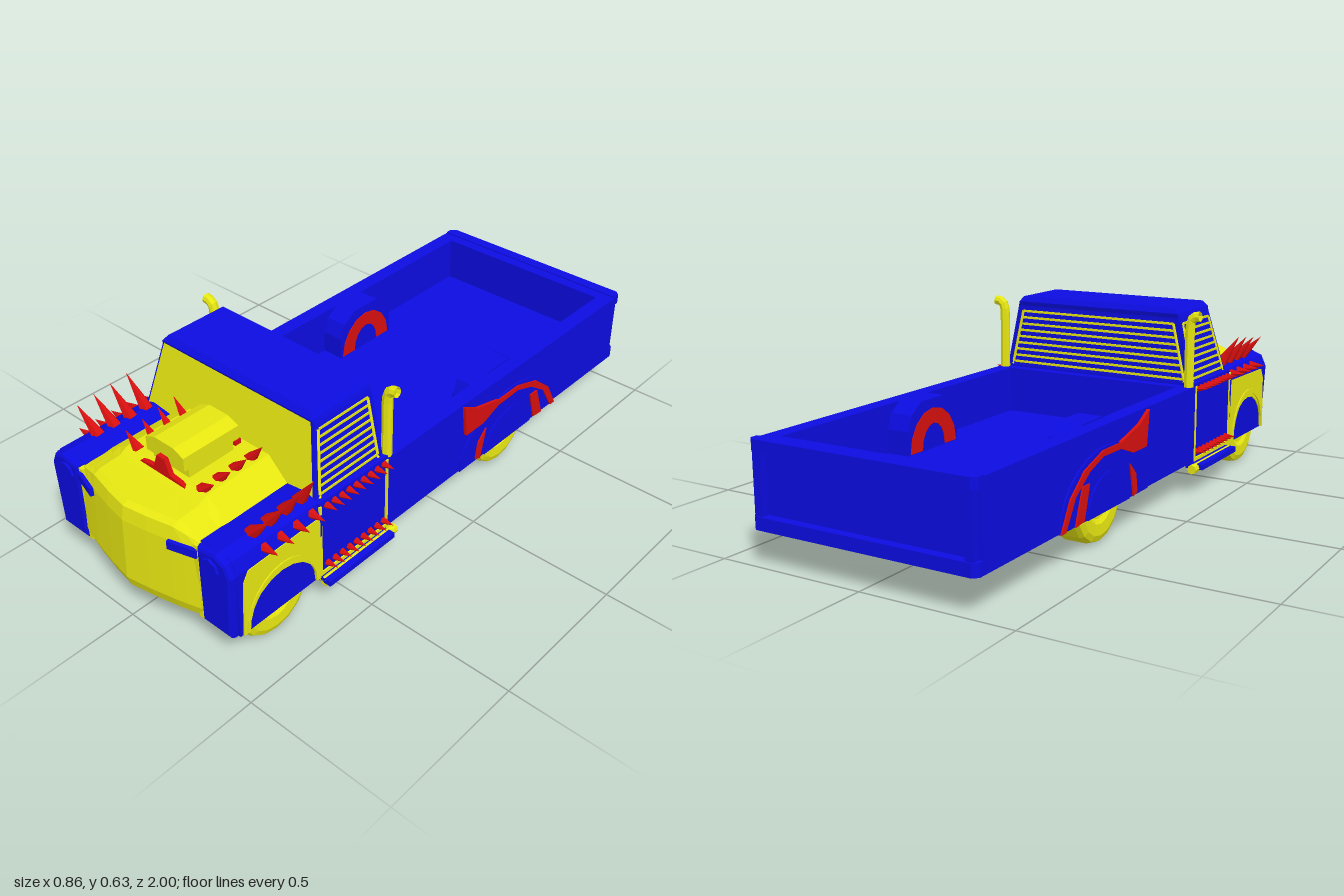
import * as THREE from 'three';

const paint = (color) => new THREE.MeshStandardMaterial({ color, flatShading: true, side: THREE.DoubleSide });

export function createModel() {
  const truck = new THREE.Group();
  truck.name = 'truck';
  const blue = paint(0x0c0ce0), yellow = paint(0xe6e612), red = paint(0xd80f0f);

  const add = (geo, mat, name) => {
    const mesh = new THREE.Mesh(geo, mat);
    mesh.name = name;
    truck.add(mesh);
  };
  // Adds a part on the left (+x) and its reflection on the right
  const pair = (geo, mat, name) => {
    add(geo, mat, name + 'Left');
    const g = geo.index ? geo.toNonIndexed() : geo.clone();
    g.scale(-1, 1, 1);
    const p = g.attributes.position;
    for (let i = 0; i < p.count; i += 3) {
      const a = [p.getX(i), p.getY(i), p.getZ(i)];
      p.setXYZ(i, p.getX(i + 1), p.getY(i + 1), p.getZ(i + 1));
      p.setXYZ(i + 1, ...a);
    }
    g.computeVertexNormals();
    add(g, mat, name + 'Right');
  };
  // Box given by its limits
  const box = (x0, x1, y0, y1, z0, z1) =>
    new THREE.BoxGeometry(x1 - x0, y1 - y0, z1 - z0).translate((x0 + x1) / 2, (y0 + y1) / 2, (z0 + z1) / 2);
  const outline = (pts) => new THREE.Shape(pts.map(([a, b]) => new THREE.Vector2(a, b)));
  const extrude = (shape, depth) => new THREE.ExtrudeGeometry(shape, { depth, bevelEnabled: false });
  // Side plate from (z, y) points, standing between x0 and x1
  const plate = (pts, x0, x1) =>
    extrude(outline(pts.map(([z, y]) => [-z, y])), x1 - x0).rotateY(Math.PI / 2).translate(x0, 0, 0);
  // Flat slab from (x, -z) points, standing between y0 and y1
  const slab = (shape, y0, y1) => extrude(shape, y1 - y0).rotateX(-Math.PI / 2).translate(0, y0, 0);
  // Surface through rows of points
  const loft = (rows) => {
    const n = rows[0].length, index = [];
    for (let r = 0; r < rows.length - 1; r++)
      for (let c = 0; c < n - 1; c++) {
        const a = r * n + c, b = a + n;
        index.push(a, a + 1, b, a + 1, b + 1, b);
      }
    const g = new THREE.BufferGeometry();
    g.setAttribute('position', new THREE.Float32BufferAttribute(rows.flat(2), 3));
    g.setIndex(index);
    g.computeVertexNormals();
    return g;
  };
  const spike = (from, to, r) => {
    const a = new THREE.Vector3(...from), b = new THREE.Vector3(...to), d = b.clone().sub(a);
    const q = new THREE.Quaternion().setFromUnitVectors(new THREE.Vector3(0, 1, 0), d.clone().normalize());
    const mid = a.add(b).multiplyScalar(0.5);
    return new THREE.ConeGeometry(r, d.length(), 6).applyQuaternion(q).translate(mid.x, mid.y, mid.z);
  };
  const arc = (cz, cy, rz, ry, n = 10) =>
    Array.from({ length: n + 1 }, (_, i) => {
      const t = (i / n) * Math.PI;
      return [cz + rz * Math.cos(t), cy + ry * Math.sin(t)];
    });

  // Cargo bed: thick walls over a thin lower skirt, a raised floor, and a framed tailgate
  const bedRing = (x, z0, z1) => {
    const shape = outline([[-0.384, -0.3], [0.384, -0.3], [0.384, 0.97], [-0.384, 0.97]]);
    shape.holes.push(new THREE.Path([[-x, z0], [-x, z1], [x, z1], [x, z0]].map((p) => new THREE.Vector2(...p))));
    return shape;
  };
  add(slab(bedRing(0.33, -0.26, 0.92), 0.195, 0.37), blue, 'bedWalls');
  add(slab(bedRing(0.376, -0.295, 0.963), 0.11, 0.195), blue, 'bedSkirt');
  add(box(-0.36, 0.36, 0.195, 0.212, -0.95, 0.29), blue, 'bedFloor');
  const rail = outline([[-0.384, 0.96], [0.384, 0.96], [0.384, 0.985], [0.368, 1], [-0.368, 1], [-0.384, 0.985]]);
  add(slab(rail, 0.34, 0.374), blue, 'tailgateTopRail');
  add(slab(rail, 0.11, 0.15), blue, 'rearBumper');
  pair(box(0.345, 0.372, 0.14, 0.35, -0.995, -0.96), blue, 'tailgatePost');

  // Rear fenders with wheel skirts, inner wheel tubs and flames
  pair(plate(arc(-0.33, 0.11, 0.27, 0.2, 14), 0.38, 0.39), blue, 'rearFender');
  pair(plate(arc(-0.32, 0.11, 0.13, 0.12), 0.385, 0.394), blue, 'rearSkirt');
  const tub = [[-0.19, 0.2], [-0.19, 0.29], [-0.21, 0.34], [-0.26, 0.375], [-0.38, 0.375], [-0.43, 0.34], [-0.45, 0.29], [-0.45, 0.2]];
  pair(plate(tub, 0.25, 0.335), blue, 'wheelTub');
  pair(plate([...arc(-0.32, 0.215, 0.12, 0.13, 8), ...arc(-0.32, 0.215, 0.06, 0.08, 8).reverse()], 0.247, 0.251), red, 'tubFlame');
  const flames = [
    [[-0.065, 0.365], [-0.13, 0.33], [-0.25, 0.3], [-0.36, 0.3], [-0.47, 0.265], [-0.55, 0.2], [-0.6, 0.11],
      [-0.575, 0.11], [-0.52, 0.2], [-0.44, 0.255], [-0.36, 0.282], [-0.25, 0.28], [-0.17, 0.25], [-0.08, 0.25]],
    [[-0.19, 0.22], [-0.165, 0.11], [-0.14, 0.12], [-0.15, 0.18]],
    [[-0.44, 0.22], [-0.48, 0.22], [-0.52, 0.11], [-0.47, 0.115]],
  ];
  flames.forEach((f) => pair(plate(f, 0.384, 0.395), red, 'flame'));

  // Lower cab and doors with thin yellow edging
  add(box(-0.382, 0.382, 0.12, 0.38, 0.295, 0.595), blue, 'cabBody');
  add(box(-0.36, 0.36, 0.108, 0.122, 0.3, 0.59), red, 'cabFloor');
  for (const z of [0.298, 0.588]) pair(box(0.38, 0.387, 0.11, 0.37, z, z + 0.009), yellow, 'doorEdge');
  pair(box(0.38, 0.387, 0.11, 0.122, 0.298, 0.597), yellow, 'doorSill');

  // Upper cab tapering to the roof
  const ring = (x, y, zb, zf) => [[x, y, zf], [x, y, zb], [-x, y, zb], [-x, y, zf], [x, y, zf]];
  add(loft([ring(0.366, 0.37, 0.3, 0.59), ring(0.317, 0.595, 0.3, 0.54), ring(0.312, 0.61, 0.295, 0.545),
    ring(0.298, 0.628, 0.305, 0.53), ring(0, 0.628, 0.42, 0.42)]), blue, 'cabShell');
  const cabX = (y) => 0.366 - ((y - 0.37) * 0.049) / 0.225;
  const cabZ = (y) => 0.59 - ((y - 0.37) * 0.05) / 0.225;
  add(loft([0.385, 0.602].map((y) => [-1, 1].map((s) => [s * (cabX(y) - 0.008), y, cabZ(y) + 0.004]))), yellow, 'windshield');

  // Louvred side and rear windows
  for (let i = 0; i <= 8; i++) {
    const y = 0.39 + i * 0.0232;
    pair(box(cabX(y) - 0.01, cabX(y) + 0.002, y - 0.004, y + 0.004, 0.32, cabZ(y) - 0.018), yellow, 'sideLouvre');
    add(box(0.025 - cabX(y), cabX(y) - 0.025, y - 0.004, y + 0.004, 0.296, 0.31), yellow, 'rearLouvre');
  }
  const tube = (pts, r) => new THREE.TubeGeometry(
    new THREE.CatmullRomCurve3(pts.map((p) => new THREE.Vector3(...p)), false, 'catmullrom', 0.2), 16, r, 8);
  pair(tube([[cabX(0.38), 0.38, 0.32], [cabX(0.577), 0.577, 0.32]], 0.005), yellow, 'sideWindowRearFrame');
  pair(tube([[cabX(0.38), 0.38, 0.572], [cabX(0.577), 0.577, 0.528]], 0.005), yellow, 'sideWindowFrontFrame');
  pair(tube([[0.342, 0.38, 0.298], [0.297, 0.577, 0.298]], 0.005), yellow, 'rearWindowFrame');

  // Hood and grille in one sweep from the lower lip over the nose to the windshield
  const nose = [[0.11, 0.96], [0.113, 0.988], [0.15, 1], [0.36, 0.99], [0.405, 0.98], [0.415, 0.96], [0.42, 0.85], [0.437, 0.82], [0.44, 0.57]];
  const cols = [-0.255, -0.21, -0.17, -0.085, 0, 0.085, 0.17, 0.21, 0.255];
  add(loft(nose.map(([y, z]) => cols.map((x) => {
    const drop = y > 0.37 ? Math.max(0, Math.abs(x) - 0.17) * (y - 0.375) * 10 : 0;
    const sweep = 0.14 * Math.abs(x) + 0.32 * x * x;
    return [x, y - drop, z - (z > 0.9 ? sweep : 0)];
  }))), yellow, 'hoodAndGrille');
  add(box(-0.25, 0.25, 0.25, 0.375, 0.59, 0.92), yellow, 'engineBay');
  pair(box(0.24, 0.256, 0.11, 0.38, 0.595, 0.94), yellow, 'grilleSide');
  pair(box(-0.047, 0.047, -0.014, 0.014, -0.006, 0.006).rotateY(0.28).translate(0.21, 0.354, 0.954), blue, 'grilleTab');

  // Front fenders: hollow arched shell, front cap, headlight, yellow side panel and arch trim
  const over = [[0.385, 0.11], [0.388, 0.34], [0.372, 0.38], [0.33, 0.395], [0.25, 0.385]];
  const under = [[0.25, 0.365], [0.325, 0.375], [0.36, 0.362], [0.37, 0.335], [0.368, 0.11]];
  pair(extrude(outline([...over, ...under]), 0.33).translate(0, 0, 0.59), blue, 'frontFender');
  pair(new THREE.ExtrudeGeometry(outline([[0.365, 0.122], [0.376, 0.335], [0.36, 0.37], [0.328, 0.383], [0.268, 0.374], [0.268, 0.122]]),
    { depth: 0.02, bevelThickness: 0.015, bevelSize: 0.012, bevelSegments: 2 }).translate(0, 0, 0.91), blue, 'fenderNose');
  pair(new THREE.CylinderGeometry(0.033, 0.036, 0.02, 8).rotateX(Math.PI / 2).translate(0.312, 0.34, 0.942), blue, 'headlight');
  pair(plate([[0.6, 0.11], [0.6, 0.34], [0.88, 0.335], [0.9, 0.3], [0.91, 0.11], ...arc(0.755, 0.11, 0.14, 0.14)], 0.38, 0.391), yellow, 'fenderPanel');
  pair(plate([...arc(0.755, 0.115, 0.145, 0.165, 12), ...arc(0.755, 0.115, 0.135, 0.15, 12).reverse()], 0.385, 0.395), yellow, 'archTrim');

  // Hood scoop
  add(box(-0.075, 0.077, 0.42, 0.48, 0.63, 0.8), yellow, 'scoopNeck');
  add(extrude(outline([[-0.08, 0.47], [0.08, 0.47], [0.08, 0.515], [0.04, 0.532], [-0.04, 0.532], [-0.08, 0.515]]), 0.21)
    .translate(0, 0, 0.608), yellow, 'scoop');

  // Spikes on the hood, fenders and doors
  add(extrude(outline([[-0.11, 0.415], [0.11, 0.415], [0.09, 0.435], [0.035, 0.442], [0.016, 0.49],
    [-0.016, 0.49], [-0.035, 0.442], [-0.09, 0.435]]), 0.015).translate(0, 0, 0.82), red, 'scoopCrest');
  add(box(-0.07, 0.07, 0.43, 0.455, 0.592, 0.615), red, 'scoopRearTrim');
  for (let i = 0; i < 4; i++) {
    const z = 0.62 + i * 0.062;
    pair(spike([0.33, 0.385, z], [0.4 + i * 0.003, 0.495 - i * 0.009, z + 0.01], 0.023), red, 'fenderSpike');
    pair(spike([0.372, 0.36, z], [0.432, 0.363, z], 0.017), red, 'fenderSideSpike');
    pair(spike([0.135, 0.43, z], [0.19, 0.5 - i * 0.008, z], 0.02), red, 'hoodSpike');
  }
  for (let i = 0; i < 9; i++)
    for (const y of [0.36, 0.142])
      pair(spike([0.38, y, 0.315 + i * 0.031], [0.425, y + 0.003, 0.315 + i * 0.031], 0.012), red, 'doorSpike');

  // Exhaust stacks, running boards and side pipes
  pair(tube([[0.366, 0.36, 0.283], [0.366, 0.56, 0.283], [0.37, 0.595, 0.283], [0.385, 0.608, 0.283], [0.402, 0.61, 0.283]], 0.017), yellow, 'exhaustStack');
  pair(box(0.355, 0.417, 0.083, 0.102, 0.3, 0.59), blue, 'runningBoard');
  pair(new THREE.CylinderGeometry(0.016, 0.016, 0.32, 8).rotateX(Math.PI / 2).translate(0.39, 0.088, 0.43), yellow, 'sidePipe');

  // Wheels with rounded treads and hubs, on plain axles
  const tread = [[0, 0.036], [0.06, 0.036], [0.075, 0.045], [0.11, 0.047], [0.128, 0.04], [0.135, 0.025], [0.135, -0.047], [0, -0.047]];
  for (const z of [0.76, -0.32]) {
    pair(new THREE.LatheGeometry(tread.map(([r, x]) => new THREE.Vector2(r, x)).reverse(), 16)
      .rotateZ(-Math.PI / 2).translate(0.32, 0.135, z), yellow, 'wheel');
    add(new THREE.CylinderGeometry(0.016, 0.016, 0.6, 8).rotateZ(Math.PI / 2).translate(0, 0.135, z), yellow, 'axle');
    add(box(-0.014, 0.014, 0.125, 0.15, z, z + 0.1), yellow, 'driveShaftStub');
  }
  return truck;
}
